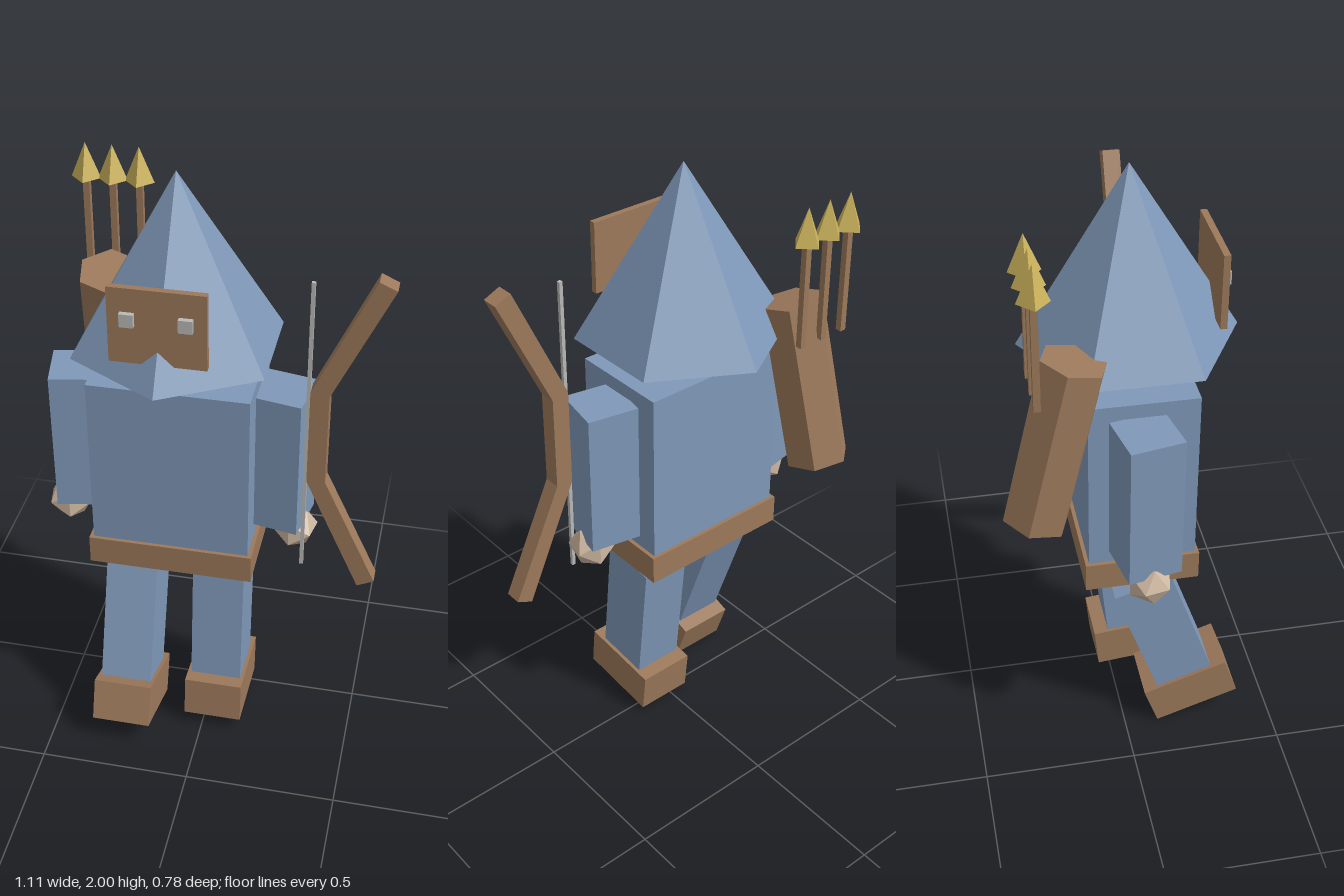
import * as THREE from 'three';

function makeMaterial(name, color) {
  const m = new THREE.MeshStandardMaterial({ color, flatShading: true });
  m.name = name;
  return m;
}

export function createModel() {
  const cloth = makeMaterial('blueCloth', 0x7f98b8);
  const leather = makeMaterial('brownLeather', 0x9c795b);
  const skin = makeMaterial('paleSkin', 0xd0b9a2);
  const gold = makeMaterial('goldTip', 0xcdb45c);
  const silver = makeMaterial('silver', 0xb9b9b6);

  const model = new THREE.Group();
  model.name = 'hoodedArcher';
  const CX = -0.108, CZ = 0.045; // body axis

  function add(parent, name, geometry, material, x, y, z) {
    const mesh = new THREE.Mesh(geometry, material);
    mesh.name = name;
    mesh.position.set(x, y, z);
    parent.add(mesh);
    return mesh;
  }
  const box = (w, h, d) => new THREE.BoxGeometry(w, h, d);
  function addGroup(name, x, y, z) {
    const g = new THREE.Group();
    g.name = name;
    g.position.set(x, y, z);
    model.add(g);
    return g;
  }

  // Hood, mask and eyes
  add(model, 'hood', new THREE.ConeGeometry(0.342, 0.56, 6), cloth, CX, 1.72, 0.042);
  add(model, 'mask', box(0.292, 0.244, 0.021), leather, CX, 1.635, 0.301);
  for (const side of [-1, 1]) {
    add(model, side > 0 ? 'leftEye' : 'rightEye', box(0.042, 0.042, 0.017), silver,
      CX + side * 0.086, 1.66, 0.319);
  }

  // Torso and belt
  add(model, 'torso', box(0.51, 0.588, 0.34), cloth, CX, 1.058, CZ);
  add(model, 'belt', box(0.536, 0.098, 0.364), leather, CX, 0.716, CZ);

  // Arms turned slightly outward, with faceted hands
  for (const side of [-1, 1]) {
    const arm = addGroup(side > 0 ? 'leftArm' : 'rightArm', CX + side * 0.331, 1.06, 0.038);
    arm.rotation.y = -side * 0.19;
    add(arm, 'sleeve', box(0.17, 0.49, 0.173), cloth, 0, 0, 0);
    add(arm, 'hand', new THREE.IcosahedronGeometry(0.076, 0), skin, side * 0.05, -0.28, -0.005);
  }

  // Legs in mid-stride, each with a boot
  const legs = [
    ['leftLeg', 0.037, 0.4, 0.0675, -0.1],
    ['rightLeg', -0.254, 0.399, 0.13, -0.335],
  ];
  for (const [name, x, y, z, tilt] of legs) {
    const leg = addGroup(name, x, y, z);
    leg.rotation.x = tilt;
    add(leg, 'trouser', box(0.172, 0.45, 0.195), cloth, 0, 0, 0);
    add(leg, 'boot', box(0.196, 0.143, 0.293), leather, 0, -0.297, 0);
  }

  // Quiver slung across the back
  const quiver = add(model, 'quiver', new THREE.CylinderGeometry(0.104, 0.104, 0.55, 6), leather,
    -0.392, 1.27, -0.23);
  quiver.rotation.set(0.24, 0.19, 0, 'YXZ');

  // Three upright arrows
  for (let i = -1; i <= 1; i++) {
    const arrow = addGroup('arrow', -0.389 + i * 0.086, 0, -0.287);
    add(arrow, 'shaft', box(0.021, 0.35, 0.021), leather, 0, 1.625, 0);
    add(arrow, 'arrowhead', new THREE.ConeGeometry(0.048, 0.116, 4), gold, 0, 1.854, 0);
  }

  // Bow held in the left hand
  const outline = [
    [0.315, 1.03], [0.496, 0.632], [0.55, 0.658], [0.373, 1.035],
    [0.373, 1.352], [0.55, 1.733], [0.496, 1.757], [0.315, 1.36],
  ].map(([x, y]) => new THREE.Vector2(x, y));
  const bowGeometry = new THREE.ExtrudeGeometry(new THREE.Shape(outline),
    { depth: 0.056, bevelEnabled: false });
  add(model, 'bow', bowGeometry, leather, 0, 0, 0.077);
  add(model, 'bowString', box(0.012, 1.047, 0.012), silver, 0.307, 1.198, 0.105);

  return model;
}
